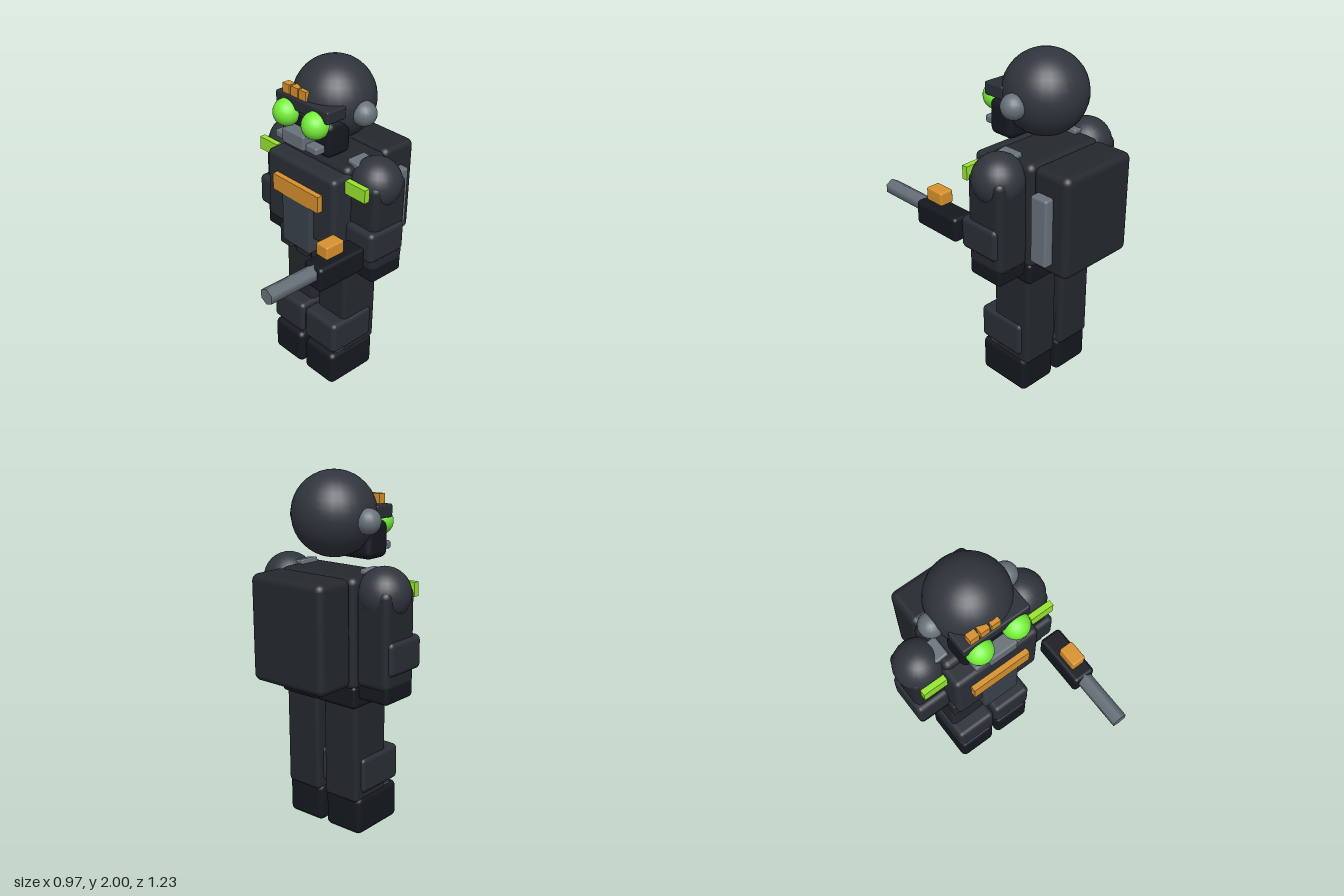
import * as THREE from 'three';
import { RoundedBoxGeometry } from 'three/addons/geometries/RoundedBoxGeometry.js';

const mat = (color) => new THREE.MeshStandardMaterial({ color });

export function createModel() {
  const model = new THREE.Group();
  const armor = mat(0x30353d), cloth = mat(0x24282d), dark = mat(0x14181e), plate = mat(0x2a2f36);
  const panel = mat(0x3a414b), metal = mat(0x68717a), glow = mat(0x76f03a), lime = mat(0x98e62e), amber = mat(0xd8922e);

  function add(name, geometry, material, x, y, z, parent = model) {
    const mesh = new THREE.Mesh(geometry, material);
    mesh.name = name;
    mesh.position.set(x, y, z);
    parent.add(mesh);
    return mesh;
  }
  // Box given by its [min, max] range on each axis; r rounds the edges
  function box(name, material, [x0, x1], [y0, y1], [z0, z1], r = 0, parent = model) {
    const s = [x1 - x0, y1 - y0, z1 - z0];
    const g = r ? new RoundedBoxGeometry(...s, 3, r) : new THREE.BoxGeometry(...s);
    return add(name, g, material, (x0 + x1) / 2, (y0 + y1) / 2, (z0 + z1) / 2, parent);
  }
  // Box mirrored in x when side is -1
  const sideBox = (side, name, material, [a, b], y, z, r, parent) =>
    box(name, material, side > 0 ? [a, b] : [-b, -a], y, z, r, parent);
  const ball = (name, material, r, x, y, z, parent, seg = 24) =>
    add(name, new THREE.SphereGeometry(r, seg, Math.round(seg * 0.67)), material, x, y, z, parent);
  const group = (name) => {
    const g = new THREE.Group();
    g.name = name;
    model.add(g);
    return g;
  };

  // Head: helmet, brow, jaw, breather and goggles
  const head = group('head');
  ball('helmet', armor, 0.232, 0, 1.768, -0.22, head, 28);
  box('brow', plate, [-0.205, 0.205], [1.74, 1.812], [-0.11, 0.025], 0.01, head);
  box('jaw', dark, [-0.197, 0.197], [1.525, 1.73], [-0.165, 0.005], 0.04, head);
  box('breather', metal, [-0.085, 0.085], [1.565, 1.65], [-0.01, 0.085], 0.01, head);
  box('breatherPipe', metal, [-0.165, 0.165], [1.56, 1.605], [-0.01, 0.065], 0.012, head);
  for (const x of [-0.13, -0.065, 0]) {
    box('helmetMark', amber, [x - 0.027, x + 0.027], [1.807, 1.865], [-0.03, 0.015], 0, head);
  }
  for (const side of [-1, 1]) {
    ball('goggle', glow, 0.077, side * 0.114, 1.712, 0.025, head);
    ball('earCap', metal, 0.07, side * 0.23, 1.745, -0.217, head, 18);
  }

  // Torso: body, chest armour and belt with pouches
  const torso = group('torso');
  box('body', cloth, [-0.265, 0.265], [0.86, 1.475], [-0.38, -0.07], 0.04, torso);
  box('chestPlate', plate, [-0.275, 0.275], [1.005, 1.44], [-0.12, 0.037], 0.03, torso);
  box('chestBand', amber, [-0.185, 0.185], [1.225, 1.325], [0.01, 0.07], 0, torso);
  box('frontPanel', panel, [-0.117, 0.117], [0.92, 1.25], [-0.01, 0.066], 0.012, torso);
  box('belt', dark, [-0.265, 0.265], [0.762, 0.887], [-0.375, -0.075], 0.02, torso);
  for (const x of [-0.215, -0.077, 0.063]) {
    box('pouch', cloth, [x - 0.05, x + 0.05], [0.78, 0.912], [-0.13, -0.04], 0.012, torso);
  }

  // Backpack with a side canister
  const pack = group('backpack');
  box('pack', cloth, [-0.25, 0.25], [0.885, 1.475], [-0.617, -0.375], 0.04, pack);
  box('canister', metal, [0.22, 0.302], [0.95, 1.345], [-0.522, -0.41], 0.015, pack);

  for (const side of [-1, 1]) {
    // Arm
    const arm = group(side > 0 ? 'leftArm' : 'rightArm');
    ball('shoulder', armor, 0.145, side * 0.34, 1.38, -0.218, arm);
    sideBox(side, 'sleeve', cloth, [0.24, 0.455], [0.88, 1.42], [-0.345, -0.095], 0.04, arm);
    sideBox(side, 'elbowPad', plate, [0.26, 0.472], [0.965, 1.155], [-0.325, -0.06], 0.03, arm);
    sideBox(side, 'glove', dark, [0.24, 0.45], [0.812, 0.955], [-0.335, -0.105], 0.02, arm);
    sideBox(side, 'armStripe', lime, [0.28, 0.428], [1.35, 1.428], [-0.075, -0.04], 0, arm);
    const clip = sideBox(side, 'shoulderClip', metal, [0.2, 0.285], [1.45, 1.495], [-0.255, -0.13], 0.01, arm);
    clip.rotation.z = side * -0.15;

    // Leg
    const leg = group(side > 0 ? 'leftLeg' : 'rightLeg');
    sideBox(side, 'trouser', cloth, [0.022, 0.255], [0.2, 0.82], [-0.35, -0.085], 0.025, leg);
    sideBox(side, 'shin', panel, [0.022, 0.25], [0.205, 0.33], [-0.33, -0.03], 0.02, leg);
    sideBox(side, 'kneePad', plate, [0.006, 0.272], [0.245, 0.455], [-0.308, 0.01], 0.03, leg);
    sideBox(side, 'boot', dark, [0.014, 0.265], [0, 0.225], [-0.335, 0.013], 0.035, leg);
  }

  // Blaster with a six-sided barrel
  const blaster = group('blaster');
  box('blasterBody', dark, [0.338, 0.474], [0.963, 1.108], [-0.017, 0.31], 0.022, blaster);
  box('blasterSight', amber, [0.363, 0.448], [1.127, 1.205], [0.12, 0.243], 0.01, blaster);
  const barrel = add('barrel', new THREE.CylinderGeometry(0.047, 0.047, 0.34, 6), metal, 0.406, 1.06, 0.447, blaster);
  barrel.rotation.x = Math.PI / 2;

  return model;
}
